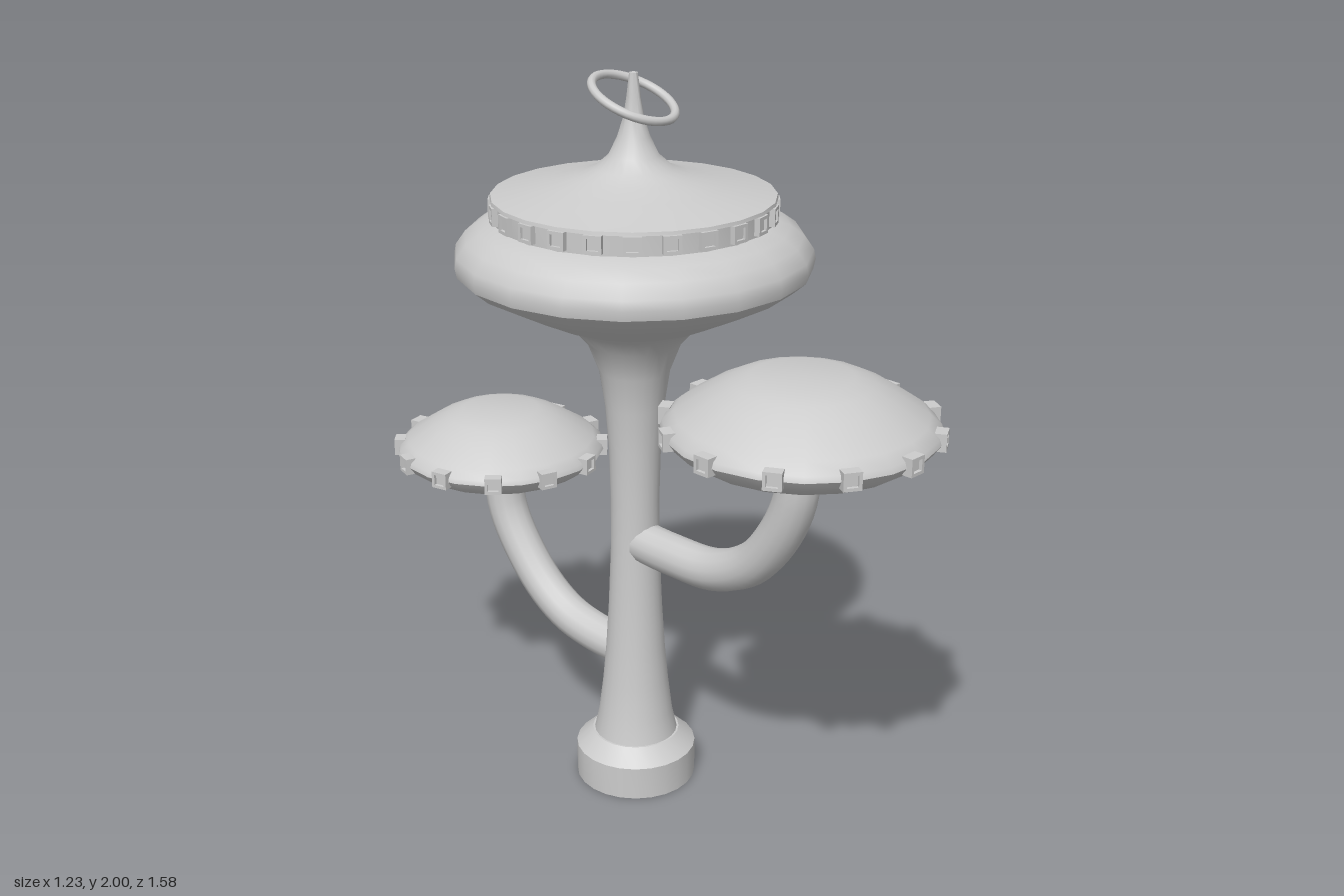
import * as THREE from 'three';
import { toCreasedNormals } from 'three/addons/utils/BufferGeometryUtils.js';

const material = new THREE.MeshStandardMaterial({ color: 0xcccccc });

function part(name, geometry, parent) {
  const mesh = new THREE.Mesh(geometry, material);
  mesh.name = name;
  parent.add(mesh);
  return mesh;
}

// Revolved shell, profile given bottom to top as [radius, y]
function lathe(profile, segments = 20) {
  const points = profile.map(([r, y]) => new THREE.Vector2(r, y));
  return toCreasedNormals(new THREE.LatheGeometry(points, segments), 0.6);
}

// Square window frame, facing +z, with its outer face at z = 0
function windowFrameGeometry(size, depth) {
  const square = (Path, h) => new Path()
    .moveTo(-h, -h).lineTo(h, -h).lineTo(h, h).lineTo(-h, h).closePath();
  const shape = square(THREE.Shape, size / 2);
  shape.holes.push(square(THREE.Path, size * 0.32));
  const geometry = new THREE.ExtrudeGeometry(shape, { depth, bevelEnabled: false });
  return geometry.translate(0, 0, -depth);
}

// Ring of framed windows around the y axis
function windowRing(name, count, radius, y, size, depth, offset, parent) {
  const ring = new THREE.Group();
  ring.name = name;
  ring.position.y = y;
  const frame = windowFrameGeometry(size, depth);
  const pane = new THREE.BoxGeometry(size * 0.7, size * 0.7, depth * 0.7);
  for (let i = 0; i < count; i++) {
    const unit = new THREE.Group();
    unit.name = 'window';
    const a = offset + (i / count) * Math.PI * 2;
    unit.position.set(Math.sin(a) * radius, 0, Math.cos(a) * radius);
    unit.rotation.y = a;
    part('windowFrame', frame, unit);
    part('windowPane', pane, unit).position.z = -depth * 0.65;
    ring.add(unit);
  }
  parent.add(ring);
}

// Side saucer; base is its underside height, k its scale
function pod(name, x, base, z, k, offset, parent) {
  const group = new THREE.Group();
  group.name = name;
  group.position.set(x, base, z);
  const profile = [
    [0, 0], [0.09, 0.002], [0.2, 0.02], [0.28, 0.05], [0.325, 0.08], [0.343, 0.105],
    [0.338, 0.12], [0.31, 0.145], [0.225, 0.2], [0.175, 0.225], [0.126, 0.24], [0, 0.24],
  ].map(([r, y]) => [r * k, y * k]);
  part('podShell', lathe(profile), group);
  windowRing('podWindows', 12, 0.353 * k, 0.109 * k, 0.046, 0.03, offset, group);
  parent.add(group);
}

// Curved arm from the trunk to a pod; points are [fraction of the way out, y]
function arm(name, from, to, points, radius, parent) {
  const curve = new THREE.CatmullRomCurve3(points.map(([t, y]) => new THREE.Vector3(
    THREE.MathUtils.lerp(from.x, to.x, t), y, THREE.MathUtils.lerp(from.y, to.y, t))));
  part(name, new THREE.TubeGeometry(curve, 28, radius, 14), parent);
}

export function createModel() {
  const model = new THREE.Group();
  model.name = 'saucerTower';
  const axis = new THREE.Vector2(-0.024, -0.08);

  const tower = new THREE.Group();
  tower.name = 'tower';
  tower.position.set(axis.x, 0, axis.y);
  model.add(tower);

  // Foot and flared trunk
  part('foot', lathe([[0, 0], [0.168, 0], [0.168, 0.095], [0.122, 0.138], [0, 0.138]], 24), tower);
  part('trunk', lathe([
    [0.117, 0.135], [0.103, 0.2], [0.091, 0.3], [0.082, 0.4], [0.074, 0.53], [0.067, 0.7],
    [0.066, 0.85], [0.07, 1], [0.079, 1.12], [0.094, 1.22], [0.125, 1.3], [0.165, 1.345],
    [0.235, 1.385],
  ], 24), tower);

  // Main saucer
  part('mainSaucer', lathe([
    [0.15, 1.345], [0.235, 1.378], [0.34, 1.43], [0.425, 1.475], [0.46, 1.505], [0.465, 1.53],
    [0.46, 1.555], [0.435, 1.59], [0.4, 1.615], [0.36, 1.632], [0, 1.64],
  ]), tower);

  // Window band under the roof
  part('windowBand', lathe([[0.34, 1.625], [0.358, 1.63], [0.358, 1.69], [0.34, 1.695]], 24), tower);
  windowRing('bandWindows', 24, 0.37, 1.661, 0.046, 0.025, 0, tower);

  // Roof sweeping up into a spire
  part('roofAndSpire', lathe([
    [0.345, 1.68], [0.367, 1.685], [0.365, 1.694], [0.23, 1.722], [0.15, 1.742], [0.1, 1.762],
    [0.065, 1.793], [0.042, 1.84], [0.026, 1.89], [0.018, 1.94], [0.011, 2], [0, 2],
  ], 24), tower);

  // Tilted ring around the spire
  const halo = part('spireRing', new THREE.TorusGeometry(0.111, 0.0115, 10, 40), tower);
  halo.position.y = 1.937;
  const tilt = 0.42;
  const normal = new THREE.Vector3(Math.sin(tilt) * Math.SQRT1_2, Math.cos(tilt), Math.sin(tilt) * Math.SQRT1_2);
  halo.quaternion.setFromUnitVectors(new THREE.Vector3(0, 0, 1), normal);

  // Side pods on their arms
  const large = new THREE.Vector2(0.26, 0.435);
  const small = new THREE.Vector2(-0.313, -0.495);
  pod('largePod', large.x, 1.12, large.y, 1, 0, model);
  pod('smallPod', small.x, 0.777, small.y, 0.86, Math.PI / 12, model);
  arm('largeArm', axis, large,
    [[0, 0.73], [0.25, 0.729], [0.52, 0.742], [0.74, 0.805], [0.89, 0.91], [0.98, 1.03], [1, 1.15]], 0.057, model);
  arm('smallArm', axis, small,
    [[0, 0.375], [0.3, 0.388], [0.5, 0.415], [0.68, 0.475], [0.85, 0.575], [0.96, 0.68], [1, 0.81]], 0.056, model);

  return model;
}
